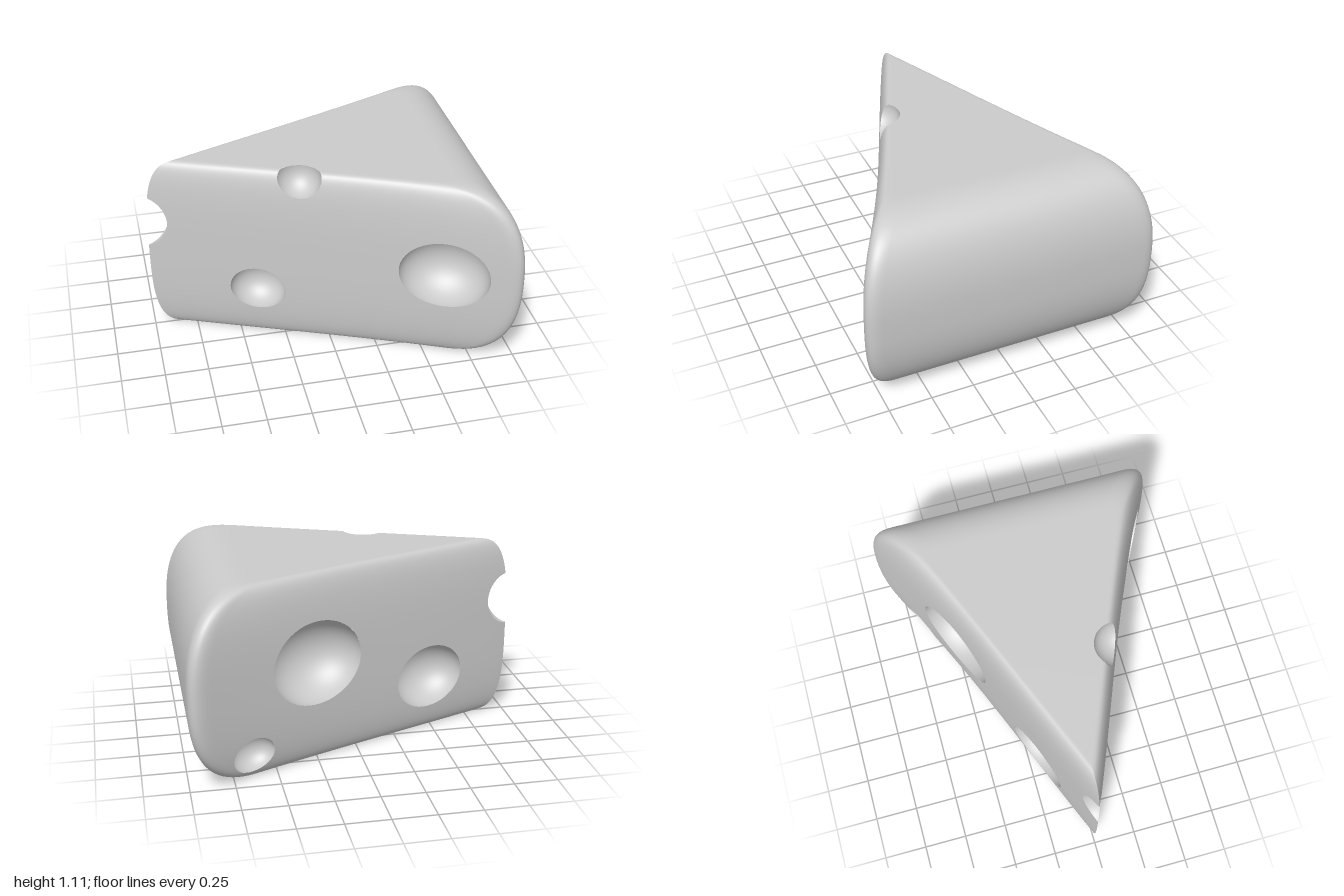
import * as THREE from 'three';
import { mergeGeometries } from 'three/addons/utils/BufferGeometryUtils.js';

const HALF = 0.555; // half the height of the wedge

// Rounding from mid-height (0) to the flat top or bottom (1)
const inset = (h, p) => 1 - Math.pow(Math.max(0, 1 - Math.pow(h, p)), 1 / p);

// Triangular section at relative height h
function section(h) {
  const k = inset(h, 2.5);
  return { tip: -1 + 0.23 * inset(h, 3.4), back: 1 - 0.37 * k, width: 0.89 - 0.315 * k, sag: 0.04 * (1 - k) };
}

// Half width of a section at fraction f from tip to back
const halfWidth = (s, f) => s.width * f - s.sag * Math.sin(Math.PI * Math.pow(f, 1.5));

// Positive inside the wedge
function insideWedge(p) {
  const dy = Math.abs(p.y - HALF);
  if (dy >= HALF) return HALF - dy - 1e-6;
  const s = section(dy / HALF);
  const f = (p.x - s.tip) / (s.back - s.tip);
  if (f <= 0) return f - 1e-6;
  return Math.min(HALF - dy, halfWidth(s, Math.min(f, 1)) - Math.abs(p.z), s.back - p.x);
}

// Outline from the tip round both back corners and back to the tip
function outline(s) {
  const pts = [], cut = 0.12, N = 90;
  const len = s.back - s.tip, fEnd = 1 - (cut * 0.92) / len;
  for (let i = 0; i <= N; i++) {
    const f = (fEnd * i) / N;
    pts.push(new THREE.Vector2(s.tip + len * f, halfWidth(s, f)));
  }
  const corner = new THREE.QuadraticBezierCurve(pts[N].clone(),
    new THREE.Vector2(s.back, s.width), new THREE.Vector2(s.back, s.width - cut));
  pts.push(...corner.getPoints(10).slice(1));
  for (let i = 1; i <= 12; i++) pts.push(new THREE.Vector2(s.back, (s.width - cut) * (1 - i / 12)));
  const mirrored = pts.slice(0, -1).reverse().map(p => new THREE.Vector2(p.x, -p.y));
  return pts.concat(mirrored);
}

// Solid wedge: rings from the bottom centre, up the sides, to the top centre
function wedgeGeometry() {
  const rings = [], R = 46, CAP = 30;
  const addRing = (h, sign, scale) => rings.push(outline(section(h)).map(p =>
    [0.1 + (p.x - 0.1) * scale, HALF + sign * h * HALF, p.y * scale]));
  for (let i = 0; i < CAP; i++) addRing(1, -1, i / CAP);
  for (let i = -R; i <= R; i++) addRing(1 - Math.pow(1 - Math.abs(i) / R, 3), Math.sign(i), 1);
  for (let i = CAP - 1; i >= 0; i--) addRing(1, 1, i / CAP);
  const n = rings[0].length, index = [];
  for (let r = 0; r < rings.length - 1; r++) {
    for (let i = 0; i < n - 1; i++) {
      const a = r * n + i, b = a + 1, c = a + n, d = c + 1;
      if (r > 0) index.push(a, b, c);
      if (r < rings.length - 2) index.push(b, d, c);
      else index.push();
    }
  }
  const g = new THREE.BufferGeometry();
  g.setAttribute('position', new THREE.Float32BufferAttribute(rings.flat(2), 3));
  g.setIndex(index);
  g.computeVertexNormals();
  return g;
}

// Keep the part of a surface where f > 0, cutting triangles along f = 0
function clip(geometry, f) {
  const g = geometry.index ? geometry.toNonIndexed() : geometry;
  const P = g.attributes.position, Nm = g.attributes.normal;
  const pos = [], nor = [];
  const vertex = i => {
    const p = new THREE.Vector3().fromBufferAttribute(P, i);
    return { p, n: new THREE.Vector3().fromBufferAttribute(Nm, i), v: f(p) };
  };
  const cutEdge = (a, b) => {
    let lo = 0, hi = 1;
    const p = new THREE.Vector3();
    for (let k = 0; k < 24; k++) {
      const m = (lo + hi) / 2;
      if ((f(p.lerpVectors(a.p, b.p, m)) > 0) === (a.v > 0)) lo = m; else hi = m;
    }
    return { p: p.lerpVectors(a.p, b.p, lo), n: a.n.clone().lerp(b.n, lo).normalize() };
  };
  for (let t = 0; t < P.count; t += 3) {
    const tri = [vertex(t), vertex(t + 1), vertex(t + 2)], poly = [];
    tri.forEach((a, i) => {
      const b = tri[(i + 1) % 3];
      if (a.v > 0) poly.push(a);
      if ((a.v > 0) !== (b.v > 0)) poly.push(cutEdge(a, b));
    });
    for (let i = 1; i < poly.length - 1; i++) {
      for (const q of [poly[0], poly[i], poly[i + 1]]) {
        pos.push(q.p.x, q.p.y, q.p.z);
        nor.push(q.n.x, q.n.y, q.n.z);
      }
    }
  }
  const out = new THREE.BufferGeometry();
  out.setAttribute('position', new THREE.Float32BufferAttribute(pos, 3));
  out.setAttribute('normal', new THREE.Float32BufferAttribute(nor, 3));
  return out;
}

// Holes: centre, radii (along the face, up, deep) and turn about y
const holes = [
  { c: [0.58, 0.567, 0.67], r: [0.26, 0.21, 0.21], turn: -0.4 },
  { c: [-0.405, 0.335, 0.235], r: [0.163, 0.14, 0.14], turn: -0.4 },
  { c: [-0.18, 1.095, 0.33], r: [0.13, 0.13, 0.13], turn: 0 },
  { c: [-1.03, 0.727, -0.04], r: [0.165, 0.165, 0.165], turn: 0 },
  { c: [0.25, 0.6, -0.52], r: [0.29, 0.245, 0.245], turn: 0.4 },
  { c: [-0.47, 0.34, -0.21], r: [0.23, 0.193, 0.193], turn: 0.4 },
  { c: [0.64, 0.15, -0.67], r: [0.133, 0.107, 0.107], turn: 0.4 },
];

// Positive outside the hole
function outsideHole({ c, r, turn }) {
  const centre = new THREE.Vector3(...c), radii = new THREE.Vector3(...r);
  const up = new THREE.Vector3(0, 1, 0), q = new THREE.Vector3();
  return p => q.copy(p).sub(centre).applyAxisAngle(up, -turn).divide(radii).length() - 1;
}

// Inward-facing ellipsoid wall of a hole
function holeGeometry({ c, r, turn }) {
  const g = new THREE.SphereGeometry(1, 72, 48);
  g.scale(-r[0], r[1], r[2]).rotateY(turn).translate(...c);
  const n = g.attributes.normal;
  for (let i = 0; i < n.count; i++) n.setXYZ(i, -n.getX(i), -n.getY(i), -n.getZ(i));
  return clip(g, insideWedge);
}

export function createModel() {
  const group = new THREE.Group();
  group.name = 'cheeseWedge';
  const material = new THREE.MeshStandardMaterial({ color: 0xcccccc });

  // Wedge with the hole openings cut out
  let body = wedgeGeometry();
  for (const hole of holes) body = clip(body, outsideHole(hole));
  const wedge = new THREE.Mesh(body, material);
  wedge.name = 'wedge';

  // Hollow walls of all holes
  const walls = new THREE.Mesh(mergeGeometries(holes.map(holeGeometry)), material);
  walls.name = 'holes';

  group.add(wedge, walls);
  return group;
}
